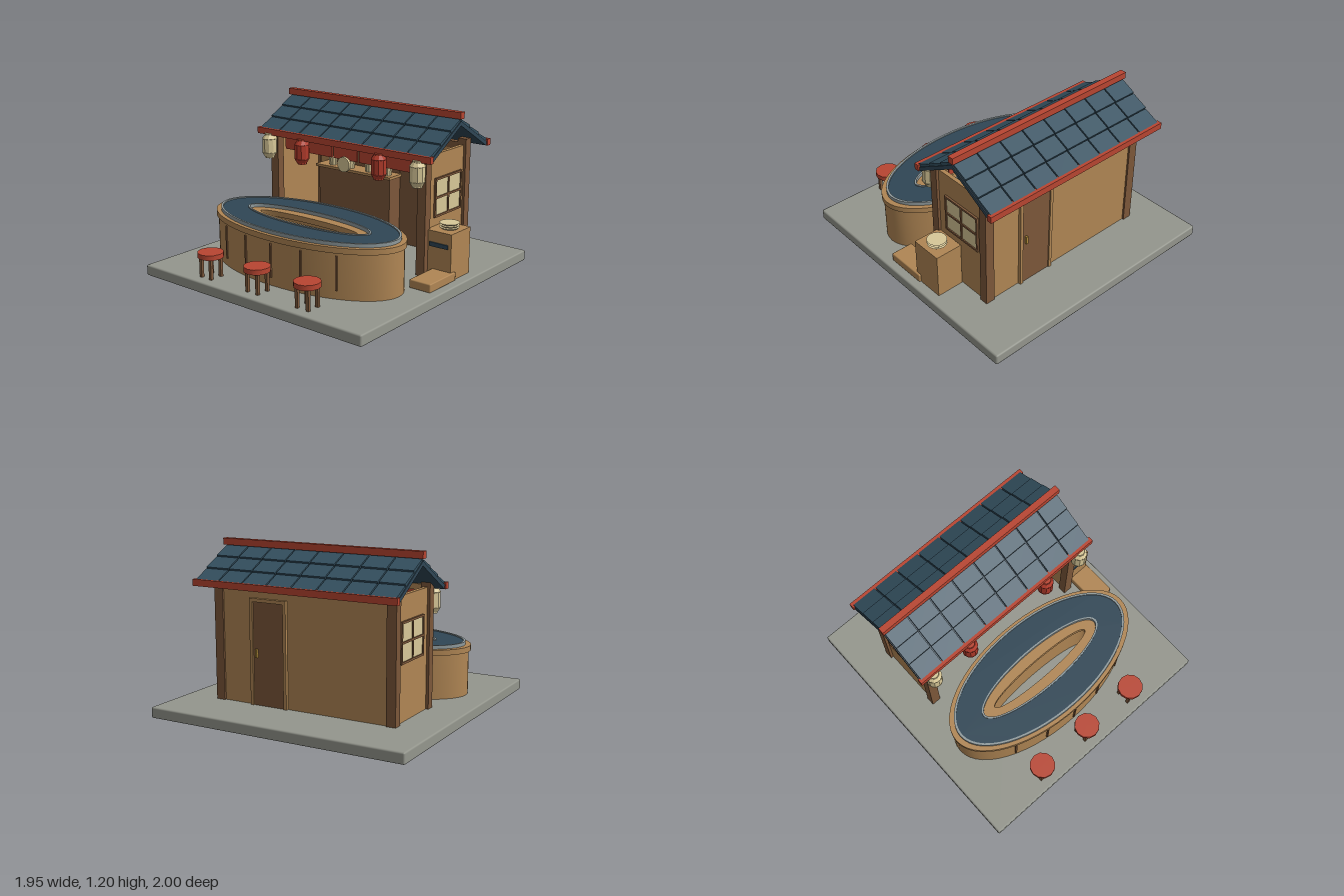
import * as THREE from 'three';
import { toCreasedNormals } from 'three/addons/utils/BufferGeometryUtils.js';
import { RoundedBoxGeometry } from 'three/addons/geometries/RoundedBoxGeometry.js';

const mat = (color, flatShading = false) => new THREE.MeshStandardMaterial({ color, flatShading });
const M = {
  wood: mat(0xb08654), dark: mat(0x7c573a), red: mat(0xb84531), navy: mat(0x2f4655),
  tile: mat(0x345060), stone: mat(0x94968d), cream: mat(0xd8c898), brass: mat(0xb08a3a),
  steel: mat(0x8f9a9c), creamLantern: mat(0xd8c898, true), redLantern: mat(0xb03a2a, true),
};

function add(parent, name, geometry, material, x = 0, y = 0, z = 0) {
  const mesh = new THREE.Mesh(geometry, material);
  mesh.name = name;
  mesh.position.set(x, y, z);
  parent.add(mesh);
  return mesh;
}

// Box given by its minimum and maximum on each axis
function box(parent, name, material, [x0, x1], [y0, y1], [z0, z1]) {
  return add(parent, name, new THREE.BoxGeometry(x1 - x0, y1 - y0, z1 - z0), material,
    (x0 + x1) / 2, (y0 + y1) / 2, (z0 + z1) / 2);
}

function disc(parent, name, material, r, h, sides, x, y, z, rBottom = r) {
  const g = toCreasedNormals(new THREE.CylinderGeometry(r, rBottom, h, sides), 0.6);
  return add(parent, name, g, material, x, y, z);
}

function group(parent, name) {
  const g = new THREE.Group();
  g.name = name;
  parent.add(g);
  return g;
}

// Upright oval ring between two ellipses
function ovalRing(parent, name, material, [rx, rz], [ix, iz], y0, y1) {
  const shape = new THREE.Shape().absellipse(0, 0, rx, rz, 0, Math.PI * 2);
  shape.holes.push(new THREE.Path().absellipse(0, 0, ix, iz, 0, Math.PI * 2));
  const g = new THREE.ExtrudeGeometry(shape, { depth: y1 - y0, bevelEnabled: false, curveSegments: 28 });
  g.rotateX(-Math.PI / 2);
  return add(parent, name, toCreasedNormals(g, 0.7), material, 0, y0, 0.36);
}

function buildCounter(root) {
  const c = group(root, 'ovalCounter');
  ovalRing(c, 'counterBody', M.wood, [0.79, 0.375], [0.46, 0.075], 0.08, 0.4);
  ovalRing(c, 'counterTop', M.wood, [0.805, 0.39], [0.44, 0.065], 0.4, 0.44);
  ovalRing(c, 'conveyorBelt', M.navy, [0.75, 0.35], [0.545, 0.15], 0.44, 0.458);
  ovalRing(c, 'outerTrim', M.steel, [0.765, 0.363], [0.748, 0.348], 0.44, 0.466);
  ovalRing(c, 'innerTrim', M.steel, [0.548, 0.153], [0.533, 0.14], 0.44, 0.466);
  for (const x of [-0.5, -0.25, 0, 0.25, 0.5]) {
    const z = 0.36 + 0.375 * Math.sqrt(1 - (x / 0.79) ** 2);
    box(c, 'counterSlat', M.dark, [x - 0.006, x + 0.006], [0.14, 0.38], [z - 0.012, z + 0.01]);
  }
}

function buildStool(root, x) {
  const s = group(root, 'stool');
  s.position.set(x, 0, 0.87);
  disc(s, 'stoolSeat', M.red, 0.092, 0.036, 12, 0, 0.243, 0);
  for (const sx of [-1, 1]) for (const sz of [-1, 1])
    add(s, 'stoolLeg', new THREE.BoxGeometry(0.022, 0.146, 0.022), M.dark, sx * 0.046, 0.153, sz * 0.046);
}

// Window lying on a side wall; s is the side
function buildWindow(root, s) {
  const w = group(root, 'window');
  const part = (name, m, h, y, d, z, t) =>
    add(w, name, new THREE.BoxGeometry(t, h, d), m, s * 0.69, y, z);
  part('windowPane', M.cream, 0.27, 0.615, 0.32, -0.34, 0.014);
  for (const y of [0.482, 0.615, 0.748]) part('windowRail', M.dark, 0.015, y, 0.33, -0.34, 0.03);
  for (const z of [-0.182, -0.34, -0.498]) part('windowStile', M.dark, 0.27, 0.615, 0.015, z, 0.028);
}

function buildHouse(root) {
  const h = group(root, 'stall');
  box(h, 'backWall', M.wood, [-0.66, 0.66], [0.08, 0.92], [-0.585, -0.55]);
  box(h, 'backBeam', M.dark, [-0.64, 0.64], [0.89, 0.94], [-0.595, -0.545]);
  box(h, 'frontBeam', M.wood, [-0.64, 0.64], [0.9, 0.94], [-0.095, -0.055]);
  for (const s of [-1, 1]) {
    const x = s * 0.675;
    box(h, 'sideWall', M.wood, [x - 0.015, x + 0.015], [0.08, 0.925], [-0.56, -0.08]);
    for (const z of [-0.075, -0.5675])
      box(h, 'post', M.dark, [x - 0.035, x + 0.035], [0.08, 0.97], [z - 0.031, z + 0.031]);
    buildWindow(h, s);
  }

  // Rear door with frame and handle
  const d = group(h, 'rearDoor');
  box(d, 'doorPanel', M.dark, [0.14, 0.39], [0.08, 0.81], [-0.597, -0.54]);
  for (const x of [0.13, 0.4]) box(d, 'doorJamb', M.wood, [x - 0.012, x + 0.012], [0.08, 0.83], [-0.607, -0.575]);
  box(d, 'doorHead', M.wood, [0.118, 0.412], [0.808, 0.832], [-0.607, -0.575]);
  box(d, 'doorHandle', M.brass, [0.35, 0.365], [0.42, 0.48], [-0.615, -0.595]);

  // Back panel, sideboard and cups
  const b = group(h, 'sideboard');
  box(b, 'backPanel', M.dark, [-0.54, 0.14], [0.08, 0.81], [-0.552, -0.535]);
  box(b, 'sideboardBody', M.dark, [-0.54, 0.14], [0.08, 0.605], [-0.54, -0.41]);
  box(b, 'sideboardTop', M.wood, [-0.555, 0.155], [0.605, 0.625], [-0.54, -0.385]);
  for (const x of [-0.43, -0.255, -0.08, 0.095])
    disc(b, 'cup', M.cream, 0.035, 0.06, 10, x, 0.655, -0.445, 0.028);

  // Split curtain and round sign across the front
  for (let i = -2; i <= 2; i++)
    box(h, 'curtainPanel', M.red, [i * 0.233 - 0.108, i * 0.233 + 0.108], [0.8, 0.905], [-0.07, -0.058]);
  disc(h, 'roundSign', M.cream, 0.055, 0.02, 20, 0, 0.77, -0.045).rotation.x = Math.PI / 2;
}

function buildRoof(root) {
  const r = group(root, 'roof');
  const pitch = Math.atan2(0.21, 0.36), length = 0.415, rows = 3, cols = 8;
  for (const s of [1, -1]) {
    const slope = group(r, s > 0 ? 'frontSlope' : 'backSlope');
    slope.position.set(0, 1.145, -0.36);
    slope.rotation.set(pitch, s > 0 ? 0 : Math.PI, 0, 'YXZ');
    box(slope, 'roofBoard', M.navy, [-0.775, 0.775], [-0.035, -0.008], [0, length]);
    // Overlapping tiles, each row tipped up at its lower edge
    for (let i = 0; i < rows; i++) for (let j = 0; j < cols; j++) {
      const t = add(slope, 'roofTile', new THREE.BoxGeometry(0.184, 0.022, 0.134), M.tile,
        (j - (cols - 1) / 2) * 0.1935, -0.001, (i + 0.5) * length / rows);
      t.rotation.x = -0.07;
    }
  }
  box(r, 'ridgeBeam', M.red, [-0.785, 0.785], [1.152, 1.2], [-0.383, -0.337]);
  for (const z of [0.003, -0.723])
    box(r, 'eaveBeam', M.red, [-0.785, 0.785], [0.905, 0.952], [z - 0.019, z + 0.019]);
}

function buildLantern(root, x, material) {
  const l = group(root, 'lantern');
  l.position.set(x, 0, 0.01);
  const profile = [[0, 0.74], [0.038, 0.74], [0.055, 0.768], [0.055, 0.88], [0.038, 0.905], [0, 0.905]];
  add(l, 'lanternShade', new THREE.LatheGeometry(profile.map(p => new THREE.Vector2(...p)), 10), material);
  for (const y of [0.738, 0.909]) disc(l, 'lanternCap', material === M.redLantern ? M.red : M.cream, 0.036, 0.016, 10, 0, y, 0);
  for (const y of [0.77, 0.878]) {
    const ring = add(l, 'lanternHoop', new THREE.TorusGeometry(0.054, 0.003, 4, 10), material, 0, y, 0);
    ring.rotation.x = Math.PI / 2;
  }
}

function buildSideCabinet(root) {
  const c = group(root, 'sideCabinet');
  box(c, 'cabinetBody', M.wood, [0.695, 0.9], [0.08, 0.415], [-0.322, -0.085]);
  box(c, 'cabinetSlot', M.navy, [0.725, 0.875], [0.305, 0.335], [-0.09, -0.076]);
  add(c, 'cabinetStep', new RoundedBoxGeometry(0.17, 0.062, 0.312, 1, 0.008), M.wood, 0.831, 0.111, 0.028);
  for (let i = 0; i < 3; i++)
    disc(c, 'plate', M.cream, 0.07, 0.011, 16, 0.805, 0.422 + i * 0.0155, -0.205, 0.058);
}

export function createModel() {
  const root = new THREE.Group();
  root.name = 'foodStall';
  add(root, 'groundSlab', new RoundedBoxGeometry(1.95, 0.08, 2, 1, 0.012), M.stone, 0, 0.04, 0);
  buildCounter(root);
  for (const x of [-0.44, 0, 0.44]) buildStool(root, x);
  buildHouse(root);
  buildRoof(root);
  for (const s of [-1, 1]) {
    buildLantern(root, s * 0.675, M.creamLantern);
    buildLantern(root, s * 0.352, M.redLantern);
  }
  buildSideCabinet(root);
  return root;
}
